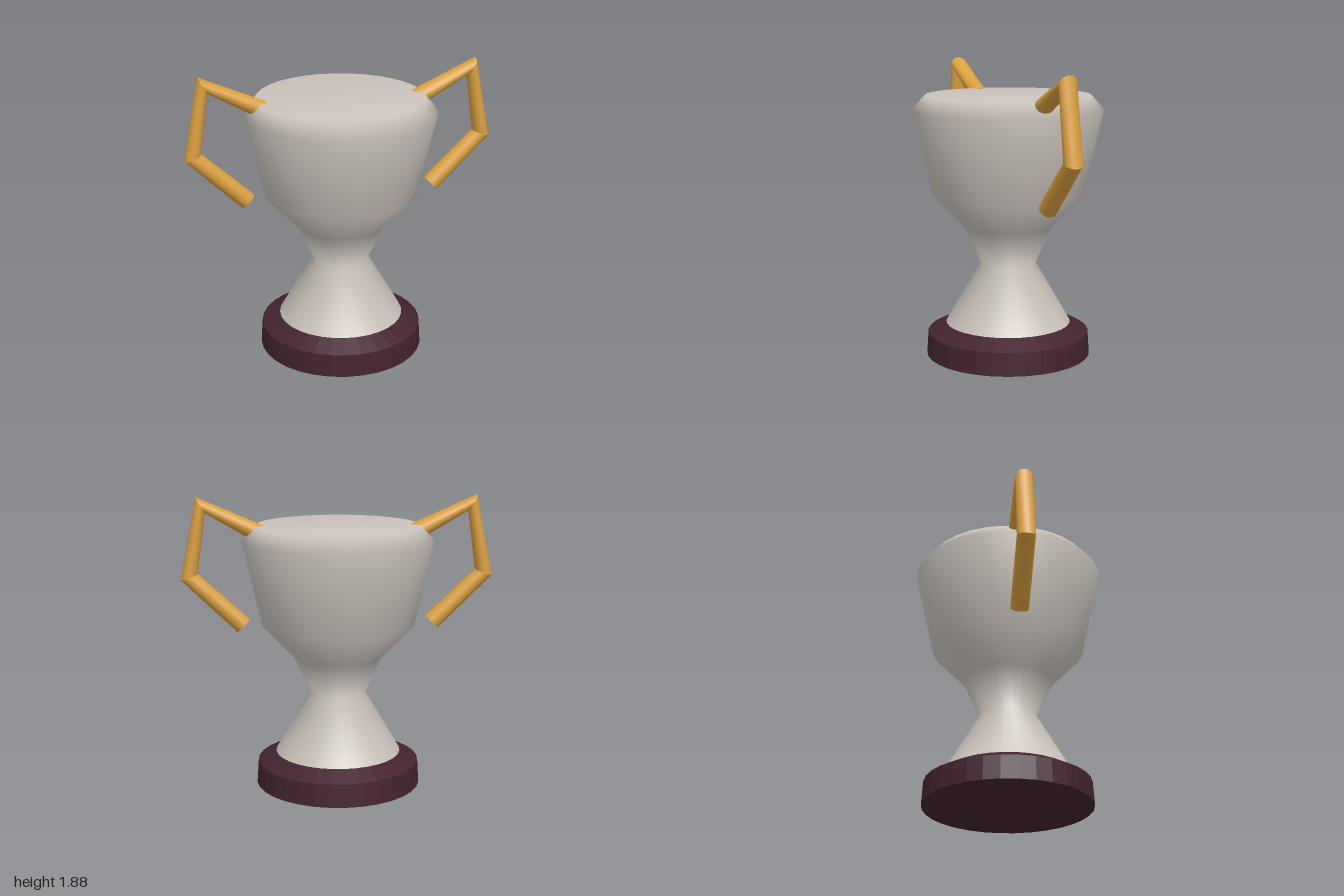
import * as THREE from 'three';
import { mergeGeometries } from 'three/addons/utils/BufferGeometryUtils.js';

const SIDES = 32;

const material = (name, color, extra = {}) => {
  const m = new THREE.MeshStandardMaterial({ color, ...extra });
  m.name = name;
  return m;
};

const lathe = (name, profile, mat) => {
  const points = profile.map(([r, y]) => new THREE.Vector2(r, y));
  const mesh = new THREE.Mesh(new THREE.LatheGeometry(points, SIDES), mat);
  mesh.name = name;
  return mesh;
};

// Angular bent tube: one round ring per joint, smooth around, creased at the joints
function handleGeometry() {
  const radius = 0.0575, n = 16;
  // ring centre x, y, then direction (in the xy plane) across the ring towards the outside of the bend
  const rings = [
    [0.50, 1.65, -0.43, 0.9],
    [0.865, 1.833, 0.48, 0.88],
    [0.945, 1.38, 0.94, -0.34],
    [0.61, 1.06, 0.7, -0.71],
  ].map(([x, y, ux, uy]) => {
    const across = new THREE.Vector3(ux, uy, 0).normalize();
    return Array.from({ length: n + 1 }, (_, i) => {
      const a = (i / n) * Math.PI * 2;
      return new THREE.Vector3(x, y, 0)
        .addScaledVector(across, Math.cos(a) * radius)
        .add(new THREE.Vector3(0, 0, Math.sin(a) * radius));
    });
  });
  const build = (points, index) => {
    const g = new THREE.BufferGeometry().setFromPoints(points);
    g.setIndex(index);
    g.computeVertexNormals();
    return g;
  };
  const parts = [];
  for (let s = 0; s < rings.length - 1; s++) {
    const index = [];
    for (let i = 0; i < n; i++) {
      const j = (i + 1) % n;
      index.push(i, n + 1 + i, j, j, n + 1 + i, n + 1 + j);
    }
    parts.push(build([...rings[s], ...rings[s + 1]], index));
  }
  // End caps
  [rings[0], rings[rings.length - 1]].forEach((ring, end) => {
    const index = [];
    for (let i = 1; i < n - 1; i++) index.push(0, ...(end ? [i + 1, i] : [i, i + 1]));
    parts.push(build(ring, index));
  });
  return mergeGeometries(parts);
}

export function createModel() {
  const silver = material('silver', 0xcbc4bc);
  const gold = material('gold', 0xdaa03f, { side: THREE.DoubleSide });
  const wood = material('dark plum wood', 0x43232f, { flatShading: true });

  const trophy = new THREE.Group();
  trophy.name = 'trophyCup';

  // Stepped plinth with a bevelled shoulder
  trophy.add(lathe('base', [[0, 0], [0.535, 0], [0.525, 0.15], [0.41, 0.21], [0, 0.21]], wood));

  // Flared foot, waist and bowl, closed across the top
  trophy.add(lathe('cup', [
    [0.41, 0.205], [0.18, 0.605], [0.285, 0.845], [0.49, 1.06],
    [0.612, 1.605], [0.53, 1.697], [0, 1.697],
  ], silver));

  // Mirrored handles
  const geometry = handleGeometry();
  for (const [name, turn] of [['leftHandle', 0], ['rightHandle', Math.PI]]) {
    const handle = new THREE.Mesh(geometry, gold);
    handle.name = name;
    handle.rotation.y = turn;
    trophy.add(handle);
  }
  return trophy;
}
